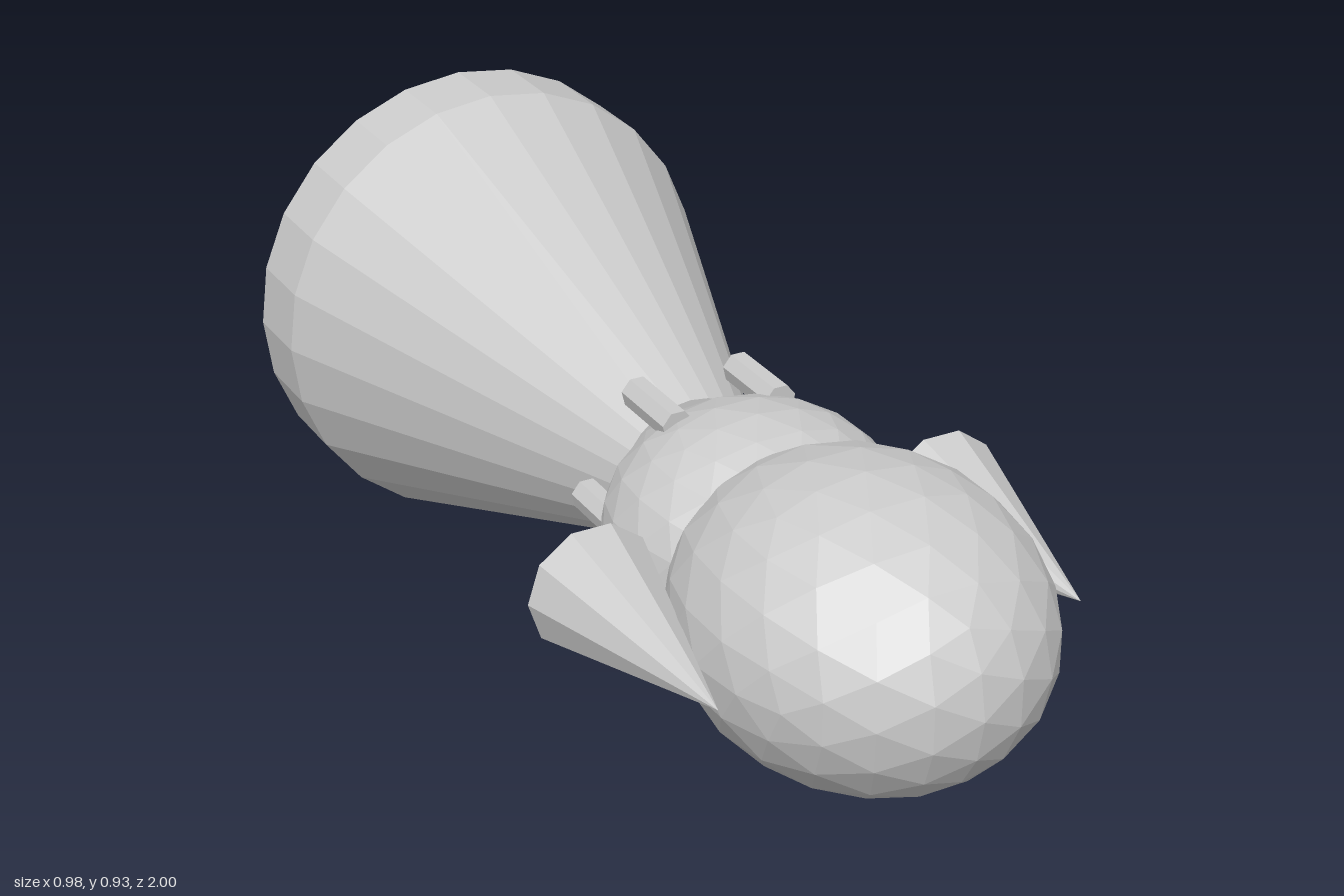
import * as THREE from 'three';

const AXIS_Y = 0.468;

export function createModel() {
  const group = new THREE.Group();
  const material = new THREE.MeshStandardMaterial({ color: 0xcccccc, flatShading: true });

  function add(name, geometry, x, y, z) {
    const mesh = new THREE.Mesh(geometry, material);
    mesh.name = name;
    mesh.position.set(x, AXIS_Y + y, z);
    group.add(mesh);
    return mesh;
  }

  // Faceted ellipsoid
  const ellipsoid = (rx, ry, rz) => new THREE.IcosahedronGeometry(1, 3).scale(rx, ry, rz);
  // Tapered cylinder along z, centred on its own length
  const zCylinder = (front, back, length, sides) =>
    new THREE.CylinderGeometry(front, back, length, sides).rotateX(Math.PI / 2);

  // Two-part body
  add('frontHull', ellipsoid(0.33, 0.286, 0.385), 0, 0, 0.613);
  add('rearHull', ellipsoid(0.285, 0.232, 0.29), 0, 0, 0.25);

  // Flared bell with a straight rim and closed back
  add('bell', zCylinder(0.148, 0.467, 0.845, 24), 0, 0, -0.4225);
  add('bellRim', zCylinder(0.467, 0.467, 0.155, 24), 0, 0, -0.9225);

  // Forward-pointing side cones
  for (const side of [-1, 1]) {
    const spike = new THREE.ConeGeometry(0.126, 0.455, 10)
      .rotateY(Math.PI / 2).rotateX(Math.PI / 2);
    add(side > 0 ? 'leftSpike' : 'rightSpike', spike, side * 0.364, 0, 0.5275);
  }

  // Ring of six small nozzles on the rear hull
  for (let i = 0; i < 6; i++) {
    const a = (i * Math.PI) / 3;
    add('nozzle' + (i + 1), zCylinder(0.032, 0.032, 0.16, 7),
      0.215 * Math.cos(a), 0.215 * Math.sin(a), 0.068);
  }
  return group;
}
